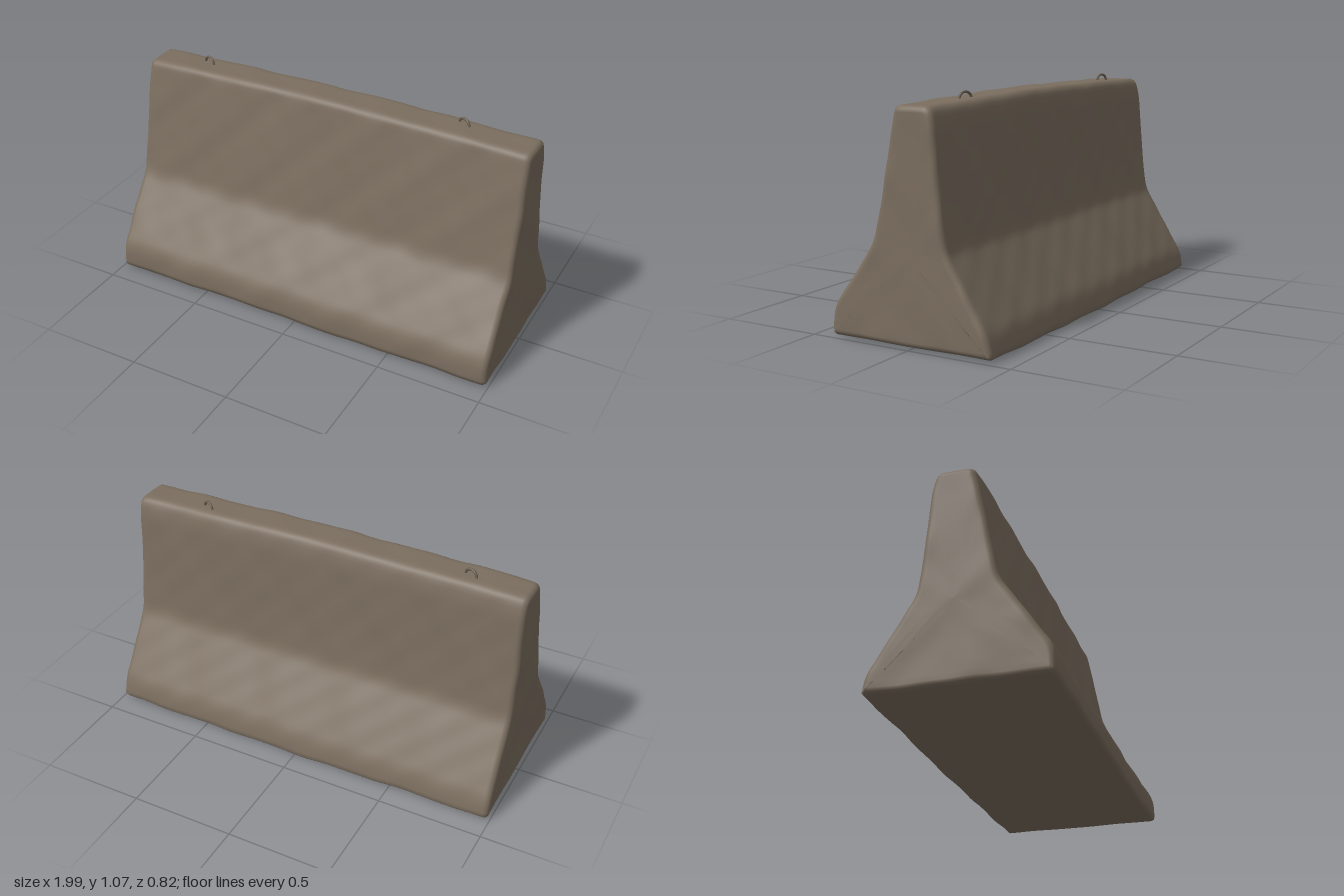
import * as THREE from 'three';

// Cross-section corners [z, y, corner radius], from front bottom over the top to back bottom
const PROFILE = [
  [0.408, 0.017, 0.02], [0.402, 0.135, 0.05], [0.178, 0.462, 0.04], [0.06, 1.03, 0.025],
  [-0.112, 1.03, 0.03], [-0.134, 0.96, 0.04], [-0.163, 0.6, 0.08], [-0.183, 0.437, 0.04],
  [-0.39, 0.11, 0.05], [-0.408, 0.017, 0.02],
];

// Closed outline with a rounded bend at each corner
function outline(count) {
  const shape = new THREE.Shape();
  PROFILE.forEach(([z, y, r], i) => {
    const c = new THREE.Vector2(z, y);
    const toward = (k) => {
      const [a, b] = PROFILE[(k + PROFILE.length) % PROFILE.length];
      return new THREE.Vector2(a, b).sub(c).setLength(r).add(c);
    };
    const p = toward(i - 1), q = toward(i + 1);
    if (i === 0) shape.moveTo(p.x, p.y); else shape.lineTo(p.x, p.y);
    shape.quadraticCurveTo(c.x, c.y, q.x, q.y);
  });
  shape.closePath();
  return shape.getSpacedPoints(count).slice(0, count);
}

// Soft irregularity of weathered concrete
const wave = (a, b, c) =>
  0.5 * Math.sin(5.1 * a + 3.7 * b + 1.3) * Math.cos(6.3 * c - 2.1 * a) +
  0.3 * Math.sin(17 * a - 13 * b + 9 * c) + 0.2 * Math.sin(31 * a + 23 * c) * Math.cos(29 * b + 4);

function barrierGeometry() {
  const n = 160, ring = outline(n), r = 0.028;
  const normals = ring.map((p, j) => {
    const a = ring[(j + n - 1) % n], b = ring[(j + 1) % n];
    return new THREE.Vector2(b.y - a.y, a.x - b.x).normalize();
  });

  // Stations [x, inset, scale]: flat end, rounded rim, long body, mirrored rim and end
  const end = [0, 0.2, 0.4, 0.6, 0.8, 0.93].map((s) => [-0.994, r, s]);
  for (let k = 0; k <= 5; k++) {
    const t = (k / 5) * Math.PI / 2;
    end.push([-0.994 + r * (1 - Math.cos(t)), r * (1 - Math.sin(t)), 1]);
  }
  const stations = [...end];
  for (let k = 1; k < 80; k++) stations.push([(-0.994 + r) * (1 - k / 40), 0, 1]);
  stations.push(...end.map(([x, d, s]) => [-x, d, s]).reverse());

  const pos = [], index = [];
  stations.forEach(([x, inset, s], i) => {
    ring.forEach((p, j) => {
      const z = -0.01 + (p.x - normals[j].x * inset + 0.01) * s;
      const y = 0.4 + (p.y - normals[j].y * inset - 0.4) * s;
      // Slight crown along the top, sag along the base, lean of the ends
      const crown = 0.016 * (1 - x * x) * Math.max(0, (y - 0.5) / 0.53);
      const sag = -0.008 * Math.exp(-6 * (x - 0.25) ** 2) * Math.max(0, 1 - y / 0.15);
      pos.push(
        x * (1 - 0.006 * y) + 0.005 * wave(y, z, x),
        y + crown + sag + 0.004 * wave(x, z, y),
        z + 0.006 * wave(x + 2, y, z),
      );
      if (i + 1 < stations.length) {
        const a = i * n + j, b = i * n + (j + 1) % n;
        index.push(a, a + n, b + n, a, b + n, b);
      }
    });
  });
  const g = new THREE.BufferGeometry();
  g.setAttribute('position', new THREE.Float32BufferAttribute(pos, 3));
  g.setIndex(index);
  g.computeVertexNormals();
  return g;
}

export function createModel() {
  const concrete = new THREE.MeshStandardMaterial({ color: 0x7b6e5f });
  concrete.name = 'concrete';
  const steel = new THREE.MeshStandardMaterial({ color: 0x6b6053 });
  steel.name = 'steel';

  const model = new THREE.Group();
  model.name = 'roadBarrier';
  const body = new THREE.Mesh(barrierGeometry(), concrete);
  body.name = 'barrierBody';
  model.add(body);

  // Lifting loops sunk into the top
  const arch = new THREE.CatmullRomCurve3([
    [-0.032, -0.04], [-0.032, 0.008], [-0.022, 0.029], [0, 0.038],
    [0.022, 0.029], [0.032, 0.008], [0.032, -0.04],
  ].map(([x, y]) => new THREE.Vector3(x, y, 0)));
  const loopGeometry = new THREE.TubeGeometry(arch, 28, 0.006, 8);
  [['rightLiftingLoop', -0.7, -0.042, -0.33], ['leftLiftingLoop', 0.63, -0.057, -0.42]].forEach(
    ([name, x, z, turn]) => {
      const loop = new THREE.Mesh(loopGeometry, steel);
      loop.name = name;
      loop.position.set(x, 1.028, z);
      loop.rotation.y = turn;
      model.add(loop);
    });
  return model;
}
